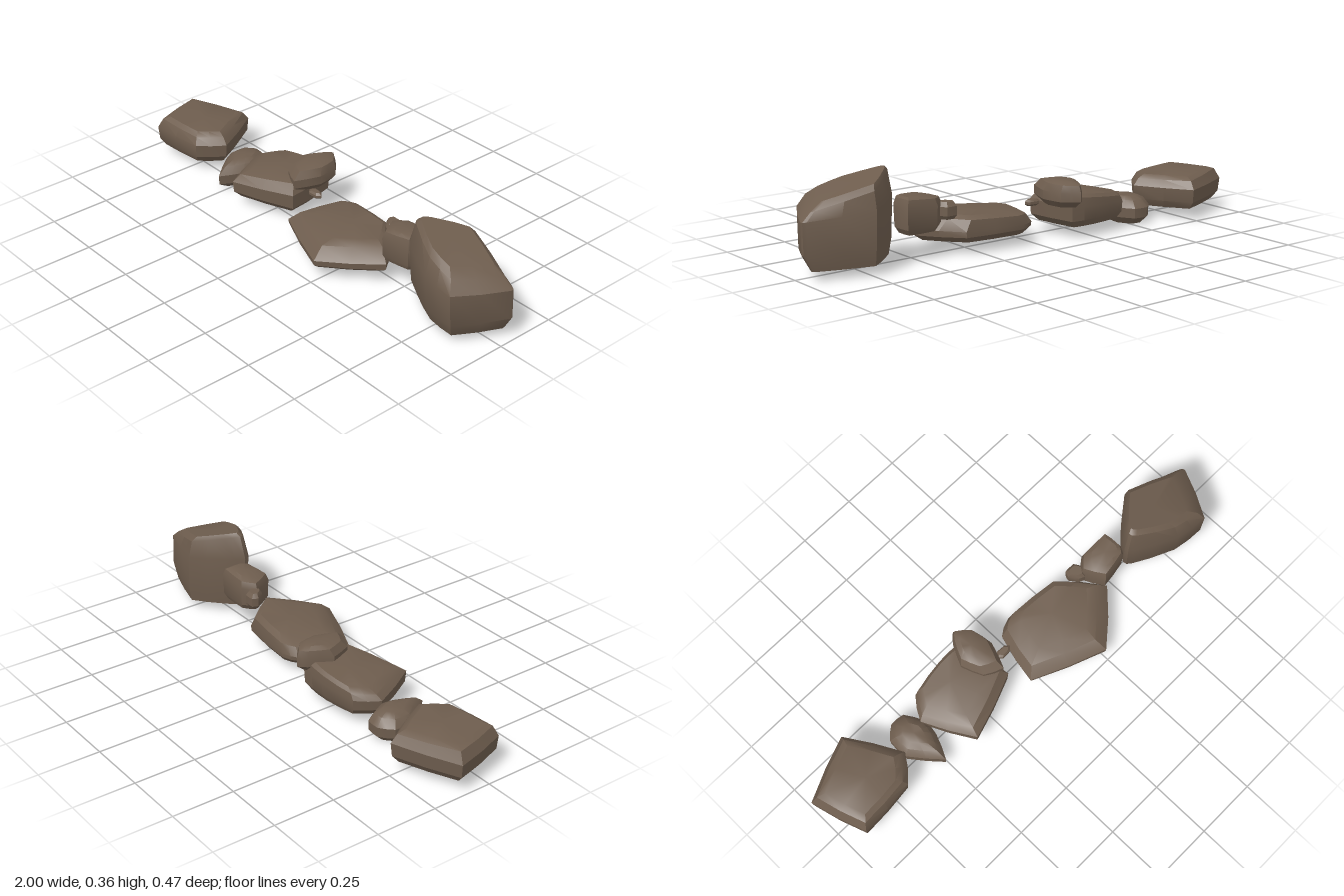
import * as THREE from 'three';
import { toCreasedNormals } from 'three/addons/utils/BufferGeometryUtils.js';

const stone = new THREE.MeshStandardMaterial({ color: 0x6e5d4e });
stone.name = 'brown stone';

// Loft a rock from a plan outline [x, z] through levels
// [height, scale, shiftX, shiftZ, tiltX, tiltZ], listed bottom to top.
function rock(name, outline, levels) {
  const n0 = outline.length;
  const cx = outline.reduce((s, p) => s + p[0], 0) / n0;
  const cz = outline.reduce((s, p) => s + p[1], 0) / n0;

  // each edge gets a slightly bulged midpoint
  const plan = [];
  outline.forEach(([x, z], i) => {
    const [x2, z2] = outline[(i + 1) % n0];
    plan.push([x - cx, z - cz], [((x + x2) / 2 - cx) * 1.03, ((z + z2) / 2 - cz) * 1.03]);
  });

  const n = plan.length, pos = [], index = [];
  for (const [y, s, ox = 0, oz = 0, tx = 0, tz = 0] of levels) {
    for (const [x, z] of plan) {
      const px = x * s + ox, pz = z * s + oz;
      pos.push(cx + px, y + tx * px + tz * pz, cz + pz);
    }
  }
  for (let l = 0; l < levels.length - 1; l++) {
    for (let i = 0; i < n; i++) {
      const j = (i + 1) % n, a = l * n, b = a + n;
      index.push(a + i, b + i, b + j, a + i, b + j, a + j);
    }
  }
  // caps
  const top = (levels.length - 1) * n, c = pos.length / 3;
  const lo = levels[0], hi = levels[levels.length - 1];
  for (const [y, , ox = 0, oz = 0, tx = 0, tz = 0] of [lo, hi]) {
    pos.push(cx + ox, y + tx * ox + tz * oz, cz + oz);
  }
  for (let i = 0; i < n; i++) {
    const j = (i + 1) % n;
    index.push(c, i, j, c + 1, top + j, top + i);
  }

  const g = new THREE.BufferGeometry();
  g.setAttribute('position', new THREE.Float32BufferAttribute(pos, 3));
  g.setIndex(index);
  const mesh = new THREE.Mesh(toCreasedNormals(g.toNonIndexed(), 0.5), stone);
  mesh.name = name;
  return mesh;
}

export function createModel() {
  const group = new THREE.Group();
  group.name = 'rockRow';
  group.add(
    // right end slab
    rock('endSlab',
      [[-1, -0.13], [-0.74, -0.24], [-0.61, -0.02], [-0.69, 0.08], [-0.93, 0.1]],
      [[0.045, 0.84], [0.075, 0.97], [0.13, 1], [0.165, 0.88, 0, 0, -0.04], [0.178, 0.72, 0, 0, -0.03]]),
    // low stone wedged beside it
    rock('lowStone',
      [[-0.61, -0.02], [-0.61, -0.11], [-0.56, -0.155], [-0.5, -0.15], [-0.455, -0.07], [-0.465, 0], [-0.51, 0.1]],
      [[0.002, 0.68], [0.03, 0.98], [0.07, 1], [0.1, 0.75], [0.113, 0.45]]),
    // middle slab, rising towards the centre
    rock('middleSlab',
      [[-0.48, -0.07], [-0.42, -0.16], [-0.26, -0.185], [-0.14, -0.18], [-0.105, 0.04], [-0.37, 0.135]],
      [[0.048, 0.84], [0.075, 0.98], [0.125, 1, 0, 0, 0.06], [0.155, 0.88, 0, -0.01, 0.12], [0.168, 0.68, 0, -0.02, 0.12]]),
    // cap stone resting on the middle slab
    rock('capStone',
      [[-0.225, -0.1], [-0.18, -0.19], [-0.15, -0.22], [-0.09, -0.17], [-0.075, -0.08], [-0.115, 0.025], [-0.19, -0.01]],
      [[0.135, 0.72], [0.16, 1], [0.195, 1], [0.225, 0.82, 0, -0.01], [0.236, 0.5, 0, -0.015]]),
    // tiny pebble
    rock('pebble',
      [[-0.09, -0.035], [-0.075, -0.053], [-0.035, -0.05], [-0.02, -0.035], [-0.035, -0.02], [-0.075, -0.018]],
      [[0.13, 0.65], [0.137, 1], [0.147, 1], [0.155, 0.65]]),
    // broad flat slab
    rock('broadSlab',
      [[-0.05, 0.11], [0.0, -0.1], [0.07, -0.135], [0.32, -0.11], [0.45, 0.05], [0.25, 0.235]],
      [[0.048, 0.87], [0.07, 0.99], [0.09, 1, 0, 0, 0.02], [0.13, 0.84, 0, -0.015, 0.05], [0.145, 0.62, 0.02, -0.02, 0.04]]),
    // small stone
    rock('smallStone',
      [[0.335, -0.06], [0.345, -0.085], [0.39, -0.085], [0.41, -0.05], [0.385, -0.015], [0.36, -0.025]],
      [[0.145, 0.7], [0.16, 1], [0.195, 1], [0.212, 0.65]]),
    // linking stone
    rock('linkStone',
      [[0.38, -0.035], [0.43, -0.08], [0.565, -0.08], [0.57, 0.0], [0.55, 0.035], [0.43, 0.055]],
      [[0.108, 0.8], [0.13, 0.96], [0.21, 1, 0, 0, 0.06], [0.238, 0.88, 0, 0, 0.08], [0.247, 0.6, 0.01, 0, 0.06]]),
    // large boulder with a sloping top
    rock('boulder',
      [[0.56, 0.03], [0.61, -0.03], [0.735, -0.135], [0.98, -0.06], [0.995, -0.04], [0.89, 0.16], [0.75, 0.145], [0.58, 0.06]],
      [[0.038, 0.85, 0, -0.015], [0.1, 0.98, 0.005, -0.005], [0.24, 1, 0, 0, -0.08],
        [0.304, 0.86, -0.005, -0.005, -0.26], [0.323, 0.7, -0.02, -0.01, -0.26]])
  );
  return group;
}
